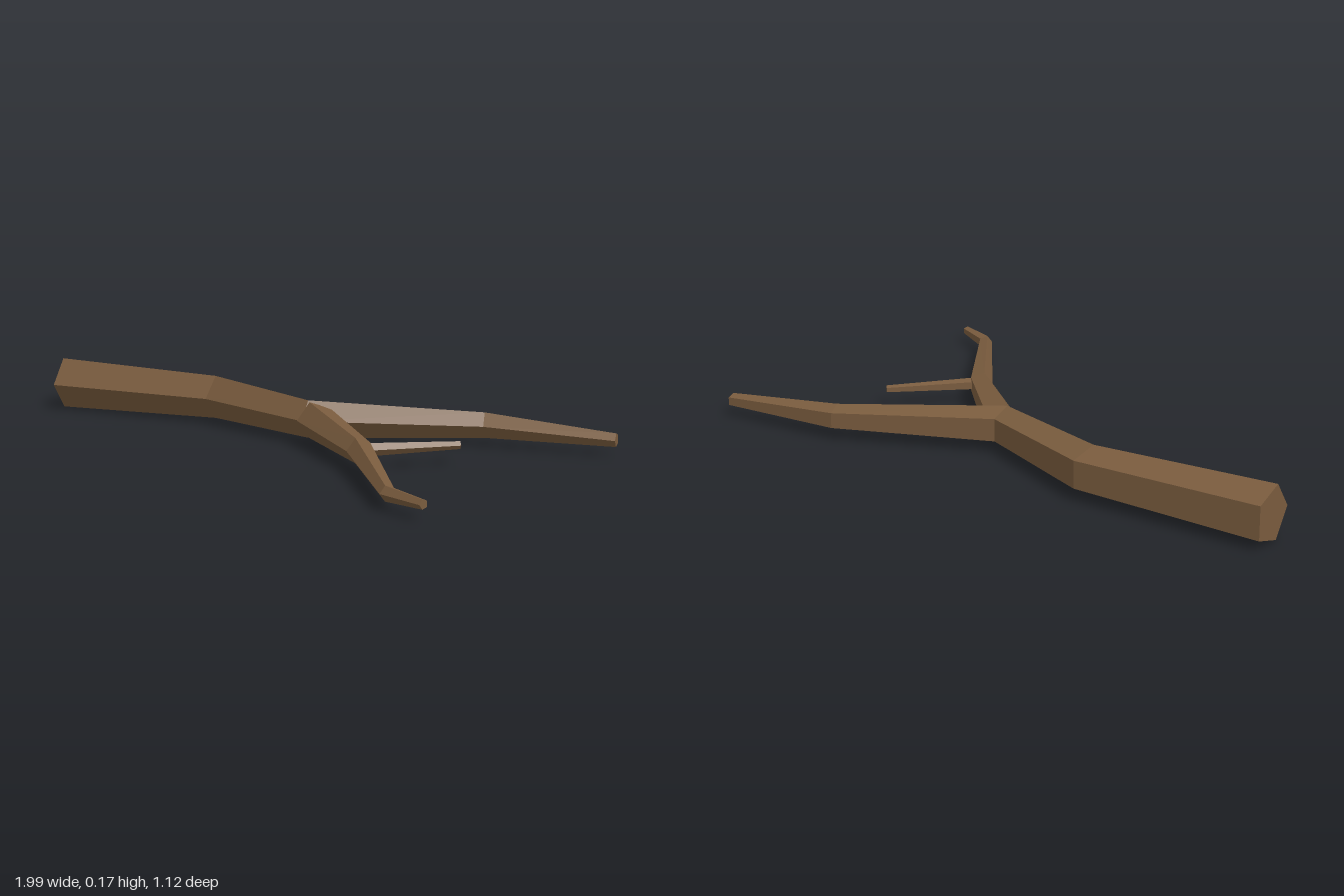
import * as THREE from 'three';

const SIDES = 5;

// Five-sided tapering limb through stations [x, y, z, radius], one corner facing right of travel
function limb(name, stations, material) {
  const centres = stations.map(([x, y, z]) => new THREE.Vector3(x, y, z));
  const heading = (i) => centres[i + 1].clone().sub(centres[i]).setY(0).normalize();
  const rings = centres.map((c, i) => {
    const dir = new THREE.Vector3();
    if (i > 0) dir.add(heading(i - 1));
    if (i < centres.length - 1) dir.add(heading(i));
    dir.normalize();
    const side = new THREE.Vector3(-dir.z, 0, dir.x);
    const r = stations[i][3];
    return Array.from({ length: SIDES }, (_, k) => {
      const a = (k / SIDES) * Math.PI * 2;
      const p = c.clone().addScaledVector(side, r * Math.cos(a));
      p.y += r * Math.sin(a);
      return p;
    });
  });

  const points = [];
  const last = rings.length - 1;
  for (let k = 0; k < SIDES; k++) {
    const n = (k + 1) % SIDES;
    // Bark faces
    for (let i = 0; i < last; i++) {
      const a = rings[i], b = rings[i + 1];
      points.push(a[k], b[k], b[n], a[k], b[n], a[n]);
    }
    // End caps
    points.push(centres[0], rings[0][k], rings[0][n]);
    points.push(centres[last], rings[last][n], rings[last][k]);
  }
  const geometry = new THREE.BufferGeometry().setFromPoints(points);
  geometry.computeVertexNormals();
  const mesh = new THREE.Mesh(geometry, material);
  mesh.name = name;
  return mesh;
}

export function createModel() {
  const bark = new THREE.MeshStandardMaterial({ color: 0x7a5c3e });
  bark.name = 'brown bark';
  bark.flatShading = true;

  const group = new THREE.Group();
  group.name = 'fallenBranch';

  // Main stem running into the rear fork
  group.add(limb('mainStem', [
    [-0.985, 0.092, -0.126, 0.092],
    [-0.365, 0.091, -0.233, 0.077],
    [0.1, 0.083, -0.132, 0.065],
    [0.573, 0.072, -0.439, 0.044],
    [0.99, 0.056, -0.546, 0.023],
  ], bark));

  // Front fork
  group.add(limb('frontFork', [
    [0.13, 0.083, -0.115, 0.062],
    [0.48, 0.066, 0.13, 0.041],
    [0.836, 0.05, 0.497, 0.024],
    [0.988, 0.05, 0.546, 0.015],
  ], bark));

  // Small twig on the front fork
  group.add(limb('twig', [
    [0.488, 0.068, 0.115, 0.022],
    [0.672, 0.066, -0.132, 0.013],
  ], bark));

  return group;
}
